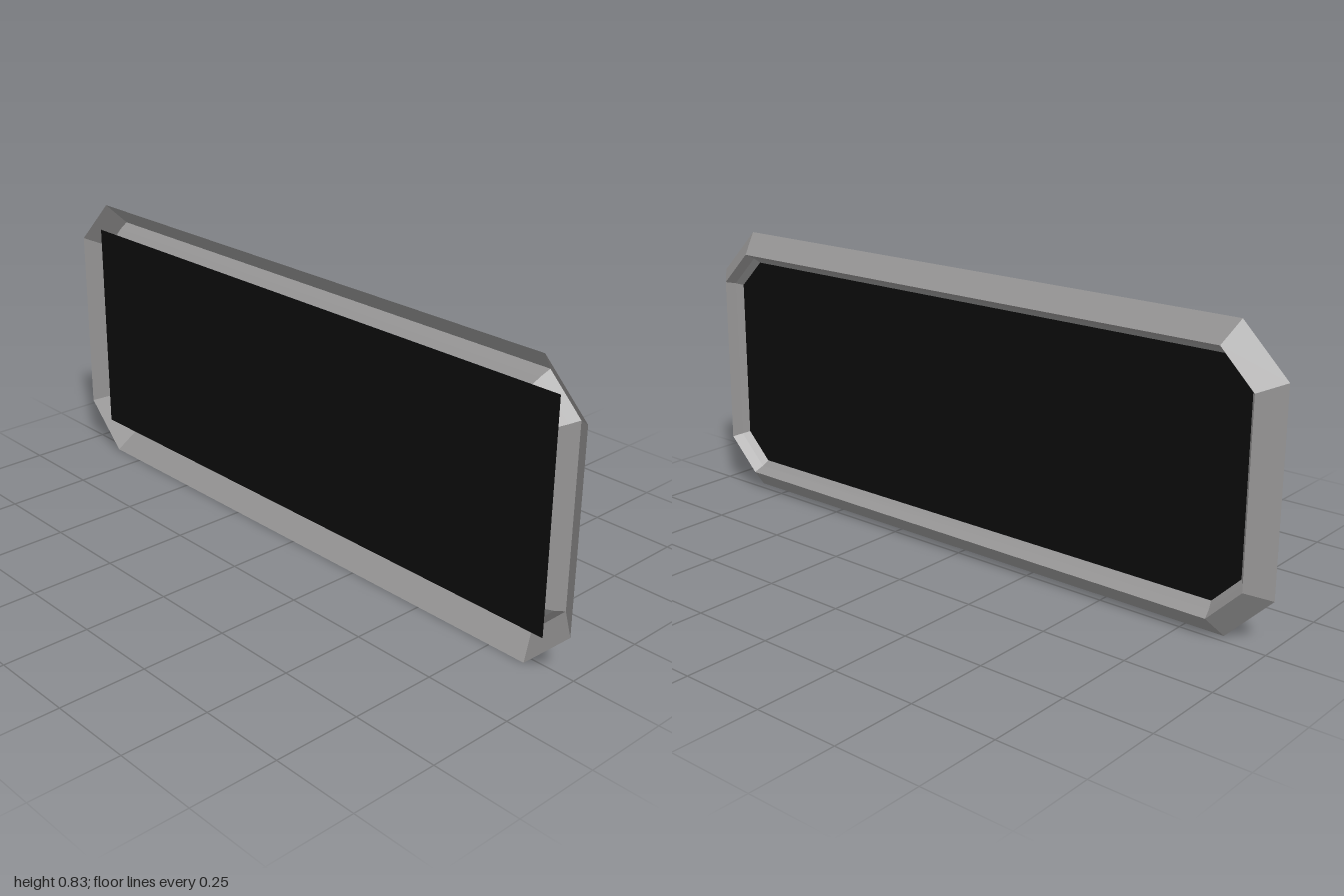
import * as THREE from 'three';

const frameGrey = new THREE.MeshStandardMaterial({ color: 0x949393, side: THREE.DoubleSide });
frameGrey.name = 'frame grey';
const panelBlack = new THREE.MeshStandardMaterial({ color: 0x0b0b0b, side: THREE.DoubleSide });
panelBlack.name = 'panel black';

const HALF_W = 1, HALF_H = 0.415, CHAMFER = 1.28; // chamfer line: x + y = CHAMFER

// Octagon outline moved inwards by d, at depth z
function octagon(d, z) {
  const w = HALF_W - d, h = HALF_H - d, c = CHAMFER - d * Math.SQRT2;
  const quarter = [[w, c - w], [c - h, h]];
  const flip = [...quarter].reverse().map(([x, y]) => [-x, y]);
  const top = [...quarter, ...flip];
  return [...top, ...top.map(([x, y]) => [-x, -y])]
    .map(([x, y]) => [x, y + HALF_H, z]);
}

// Flat-faced band joining two octagons
function band(a, b) {
  const pos = [];
  for (let i = 0; i < a.length; i++) {
    const j = (i + 1) % a.length;
    pos.push(...a[i], ...b[i], ...a[j], ...a[j], ...b[i], ...b[j]);
  }
  const geo = new THREE.BufferGeometry();
  geo.setAttribute('position', new THREE.Float32BufferAttribute(pos, 3));
  geo.computeVertexNormals();
  return geo;
}

export function createModel() {
  const group = new THREE.Group();
  group.name = 'framedPanel';

  // Thin V-shaped frame: front rim, back ridge, then up to the panel
  const profile = [[0, 0.028], [0.06, -0.028], [0.075, 0], [0.09, 0.019]];
  const names = ['outerFrame', 'innerFrame', 'innerLip'];
  names.forEach((name, i) => {
    const mesh = new THREE.Mesh(band(octagon(...profile[i]), octagon(...profile[i + 1])), frameGrey);
    mesh.name = name;
    group.add(mesh);
  });

  // Rectangular panel whose corners overlap the chamfers
  const panel = new THREE.Mesh(new THREE.PlaneGeometry(1.824, 0.65), panelBlack);
  panel.name = 'panel';
  panel.position.set(0, HALF_H, 0.02);
  group.add(panel);

  return group;
}
